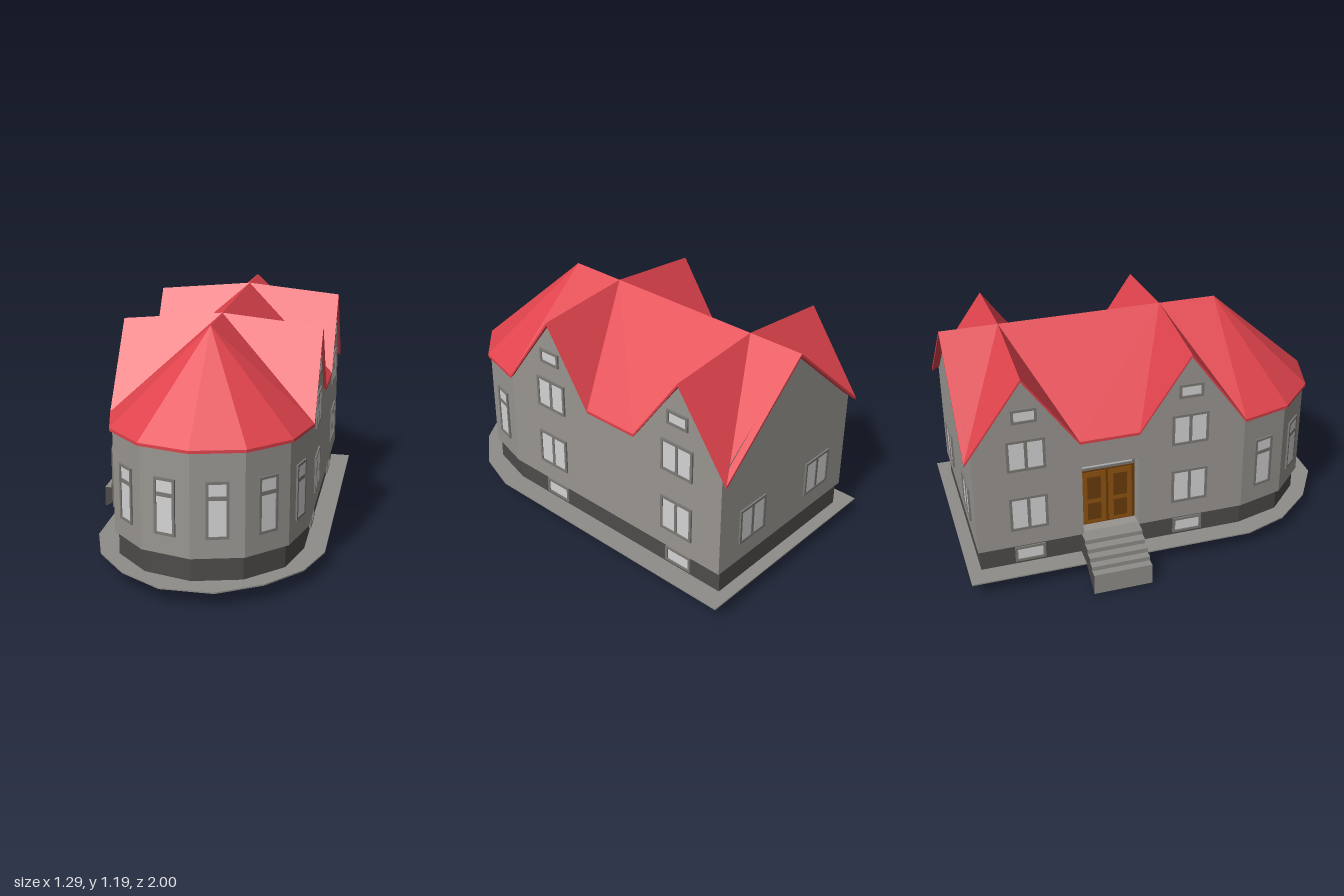
import * as THREE from 'three';

const CX = 0.07, NOSE_Z = 0.435, BACK_Z = -0.945, FLOOR = 0.212, GROUND = 0.092;
const GABLES = [0.14, -0.69];
const DOOR = { z0: -0.41, z1: -0.12, top: 0.61, depth: 0.08 };

function material(name, color) {
  const m = new THREE.MeshStandardMaterial({ color, side: THREE.DoubleSide });
  m.name = name;
  return m;
}

export function createModel() {
  const house = new THREE.Group();
  house.name = 'house';
  const mat = {
    roof: material('roofRed', 0xe0434c),
    wall: material('wallGrey', 0x999691),
    base: material('foundationGrey', 0x4e4c4a),
    slab: material('pavingGrey', 0x8f8d8a),
    frame: material('frameGrey', 0x7c7976),
    glass: material('paneLight', 0xd4d4d4),
    door: material('doorBrown', 0x8f530f),
    trim: material('doorDarkBrown', 0x6a3c0a),
  };

  const add = (name, geometry, m, parent = house) => {
    const mesh = new THREE.Mesh(geometry, m);
    mesh.name = name;
    parent.add(mesh);
    return mesh;
  };
  // Flat convex faces, each a list of [x, y, z] corners
  const faces = (name, m, polys) => {
    const pos = [];
    for (const p of polys)
      for (let i = 1; i < p.length - 1; i++) pos.push(...p[0], ...p[i], ...p[i + 1]);
    const g = new THREE.BufferGeometry();
    g.setAttribute('position', new THREE.Float32BufferAttribute(pos, 3));
    g.computeVertexNormals();
    return add(name, g, m);
  };
  const box = (name, m, parent, x, y, z, w, h, d) =>
    add(name, new THREE.BoxGeometry(w, h, d), m, parent).position.set(x, y, z);

  // Half-round end in six facets, running from +x to -x
  const arc = (r) => Array.from({ length: 7 }, (_, i) => {
    const a = i * Math.PI / 6;
    return [CX + r * Math.cos(a), NOSE_Z + r * Math.sin(a)];
  });
  const footprint = (r, back) => [[CX + r, back], ...arc(r), [CX - r, back]];
  const shapeOf = (pts) => new THREE.Shape(pts.map(([x, y]) => new THREE.Vector2(x, y)));
  const band = (pts, y0, y1) => pts.slice(1).map(([x, z], i) => {
    const [px, pz] = pts[i];
    return [[px, y0, pz], [x, y0, z], [x, y1, z], [px, y1, pz]];
  });
  // Horizontal plate with an opening
  const plate = (name, m, outer, inner, y, depth) => {
    const s = shapeOf(outer);
    s.holes.push(shapeOf(inner));
    const g = new THREE.ExtrudeGeometry(s, { depth, bevelEnabled: false });
    g.rotateX(Math.PI / 2);
    add(name, g, m).position.y = y;
  };

  // Paving around the house
  const paving = [[0.645, -1], [0.645, 0.46], [0.57, 0.68], [0.41, 0.87], [0.2, 1],
    [-0.06, 1], [-0.27, 0.87], [-0.43, 0.68], [-0.505, 0.46], [-0.505, -1]];
  const opening = [[CX + 0.46, -0.93], [CX + 0.46, 0.43], [CX - 0.46, 0.43], [CX - 0.46, -0.93]];
  plate('paving', mat.slab, paving, opening, GROUND, 0.007);

  // Foundation
  const baseRing = footprint(0.47, -0.935);
  faces('foundation', mat.base, [
    ...band([...baseRing, baseRing[0]], GROUND - 0.005, FLOOR),
    ...band([[CX + 0.47, NOSE_Z], [CX - 0.47, NOSE_Z]], GROUND - 0.005, FLOOR),
  ]);
  plate('wallLedge', mat.wall, footprint(0.49, BACK_Z), footprint(0.468, -0.933), FLOOR + 0.001, 0.002);

  // Side walls with two gables; the right one has the doorway notch
  const W = 0.49;
  const sideTop = [[0.435, 0.73], [0.14, 1.128], [-0.112, 0.757], [-0.418, 0.757], [-0.69, 1.128], [BACK_Z, 0.768]];
  const notch = [[DOOR.z0, FLOOR], [DOOR.z0, DOOR.top], [DOOR.z1, DOOR.top], [DOOR.z1, FLOOR]];
  for (const side of [1, -1]) {
    const outline = [[0.435, FLOOR], ...sideTop, [BACK_Z, FLOOR], ...(side < 0 ? notch : [])];
    const g = new THREE.ShapeGeometry(shapeOf(outline.map(([z, y]) => [-z, y])));
    g.rotateY(Math.PI / 2);
    add(side > 0 ? 'leftWall' : 'rightWall', g, mat.wall).position.x = CX + side * W;
  }
  // Rounded end, back wall and inner cross wall
  const gableWall = (z, eave) => [[CX - W, FLOOR, z], [CX + W, FLOOR, z], [CX + W, eave, z], [CX, 1.178, z], [CX - W, eave, z]];
  faces('roundedEndWall', mat.wall, band(arc(W), FLOOR, 0.732));
  faces('backWall', mat.wall, [gableWall(BACK_Z, 0.768)]);
  faces('crossWall', mat.wall, [gableWall(NOSE_Z, 0.73)]);

  // Roof: top skin, underside and rim
  const E = 0.505, RIDGE = 1.195, EAVE = 0.74, T = 0.015, END = -0.98;
  const top = [];
  const rim = arc(E).map(([x, z]) => [x, EAVE, z]);
  for (let i = 0; i < 6; i++) top.push([[CX, RIDGE, NOSE_Z], rim[i + 1], rim[i]]);
  const edges = {};
  for (const s of [1, -1]) {
    const x = CX + s * E;
    const a = GABLES.map((z) => [CX, RIDGE, z]);
    const g = GABLES.map((z) => [x, 1.147, z]);
    const v = [[x, EAVE, NOSE_Z], [x, 0.765, -0.12], [x, 0.765, -0.42], [x, EAVE, END]];
    top.push(
      [[CX, RIDGE, NOSE_Z], v[0], a[0]], [a[0], v[0], g[0]], [a[0], g[0], v[1]],
      [a[0], v[1], v[2], a[1]],
      [a[1], v[2], g[1]], [a[1], g[1], v[3]], [a[1], v[3], [CX, RIDGE, END]],
    );
    edges[s] = [g[0], v[1], v[2], g[1], v[3]];
  }
  const loop = [...rim, ...edges[-1], [CX, RIDGE, END], ...edges[1].reverse(), rim[0]];
  const lower = ([x, y, z]) => [x, y - T, z];
  faces('roof', mat.roof, top);
  faces('roofUnderside', mat.roof, top.map((p) => p.map(lower).reverse()));
  faces('roofRim', mat.roof, loop.slice(1).map((p, i) => [loop[i], p, lower(p), lower(loop[i])]));

  // Window: outer frame, optional mullion or transom bar, pane
  const addWindow = (name, x, y, z, turn, w, h, bar) => {
    const g = new THREE.Group();
    g.name = name;
    g.position.set(x, y, z);
    g.rotation.y = turn;
    const b = 0.013, d = 0.018;
    for (const s of [1, -1]) {
      box('frameSide', mat.frame, g, s * (w - b) / 2, 0, 0, b, h, d);
      box('frameRail', mat.frame, g, 0, s * (h - b) / 2, 0, w - 2 * b, b, d);
    }
    if (bar === 'mullion') box('mullion', mat.frame, g, 0, 0, 0, 0.016, h - 2 * b, d - 0.004);
    if (bar === 'transom') box('transom', mat.frame, g, 0, h * 0.21, 0, w - 2 * b, 0.02, d - 0.004);
    box('pane', mat.glass, g, 0, 0, 0, w - 2 * b, h - 2 * b, 0.008);
    house.add(g);
  };
  for (const s of [1, -1]) {
    for (const z of [0.145, -0.682]) {
      const x = CX + s * W, turn = s * Math.PI / 2;
      addWindow('groundFloorWindow', x, 0.405, z, turn, 0.19, 0.19, 'mullion');
      addWindow('upperFloorWindow', x, 0.735, z, turn, 0.19, 0.17, 'mullion');
      addWindow('atticWindow', x, 0.948, z, turn, 0.125, 0.075);
      addWindow('basementWindow', CX + s * 0.47, 0.15, z, turn, 0.155, 0.085);
    }
    addWindow('backWindow', CX + s * 0.255, 0.405, BACK_Z, Math.PI, 0.19, 0.19, 'mullion');
  }
  for (let i = 0; i < 6; i++) {
    const a = (i + 0.5) * Math.PI / 6, r = W * Math.cos(Math.PI / 12);
    addWindow('tallWindow', CX + r * Math.cos(a), 0.448, NOSE_Z + r * Math.sin(a),
      Math.PI / 2 - a, 0.108, 0.28, 'transom');
  }

  // Recessed entrance: reveal, double door and light above
  const { z0, z1, top: dTop, depth } = DOOR;
  const xo = CX - W, xi = xo + depth, zc = (z0 + z1) / 2;
  faces('doorReveal', mat.wall, [
    [[xo, FLOOR, z0], [xi, FLOOR, z0], [xi, dTop, z0], [xo, dTop, z0]],
    [[xo, FLOOR, z1], [xi, FLOOR, z1], [xi, dTop, z1], [xo, dTop, z1]],
    [[xo, dTop, z0], [xi, dTop, z0], [xi, dTop, z1], [xo, dTop, z1]],
    [[xo, FLOOR, z0], [xi, FLOOR, z0], [xi, FLOOR, z1], [xo, FLOOR, z1]],
  ]);
  const door = new THREE.Group();
  door.name = 'frontDoor';
  house.add(door);
  box('doorFrame', mat.trim, door, xi, 0.375, zc, 0.01, 0.325, z1 - z0);
  for (const s of [1, -1]) {
    box('doorLeaf', mat.door, door, xi, 0.372, zc + s * 0.068, 0.018, 0.305, 0.122);
    for (const [y, h] of [[0.29, 0.1], [0.43, 0.13]])
      box('doorPanel', mat.trim, door, xi, y, zc + s * 0.068, 0.021, h, 0.07);
  }
  addWindow('doorLight', xi, 0.574, zc, -Math.PI / 2, z1 - z0, 0.073);

  // Entrance steps, open underneath
  const steps = [[-0.645, 0.005], [-0.645, 0.118], [-0.607, 0.118], [-0.607, 0.141], [-0.568, 0.141],
    [-0.568, 0.165], [-0.525, 0.165], [-0.525, 0.189], [-0.48, 0.189], [-0.48, 0.213], [-0.4, 0.213]];
  const SZ = [-0.42, -0.12];
  faces('stepTreads', mat.slab, steps.slice(1).map(([x, y], i) => {
    const [px, py] = steps[i];
    return [[px, py, SZ[0]], [px, py, SZ[1]], [x, y, SZ[1]], [x, y, SZ[0]]];
  }));
  for (const z of SZ)
    add('stepSide', new THREE.ShapeGeometry(shapeOf([...steps, [-0.4, 0.088], [-0.5, 0.088]])), mat.base).position.z = z;

  return house;
}
